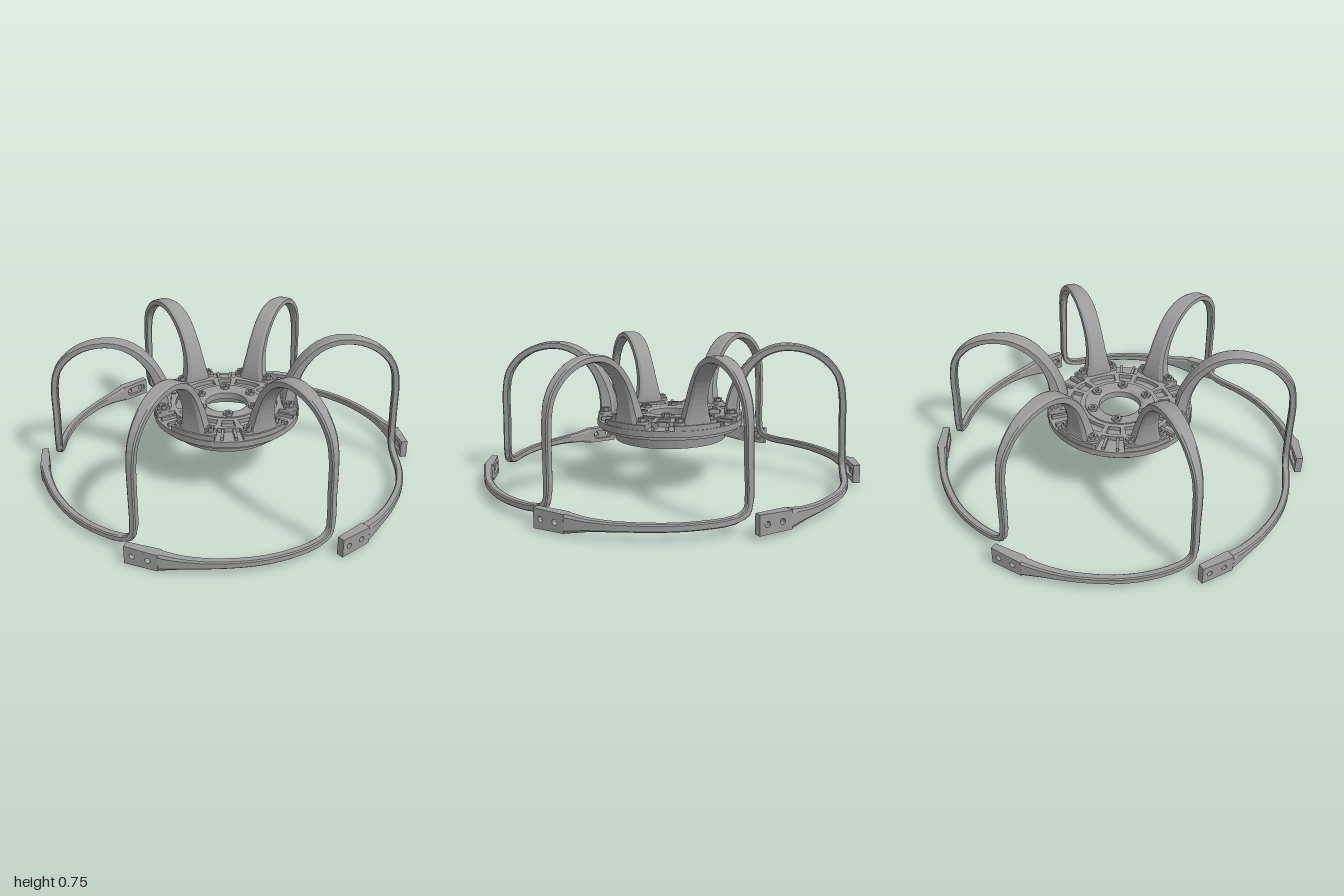
import * as THREE from 'three';

const metal = new THREE.MeshStandardMaterial({ color: 0x9c9c9c, flatShading: true });
metal.name = 'grey metal';
const LEG_ANGLE = -14.6; // degrees, measured from +x towards +z
const rad = THREE.MathUtils.degToRad;

function add(parent, geometry, name, x = 0, y = 0, z = 0) {
  const mesh = new THREE.Mesh(geometry, metal);
  mesh.name = name;
  mesh.position.set(x, y, z);
  parent.add(mesh);
  return mesh;
}

// Ring sector outline, used for pads and for pockets
function sector(Kind, r0, r1, from, to) {
  const p = new Kind();
  p.absarc(0, 0, r1, rad(from), rad(to), false);
  p.absarc(0, 0, r0, rad(to), rad(from), true);
  p.closePath();
  return p;
}

// Extrude a plan outline upwards (outline angle a becomes angle a from +x to +z)
function slab(shape, depth) {
  const g = new THREE.ExtrudeGeometry(shape, { depth, bevelEnabled: false, curveSegments: 10 });
  g.rotateX(Math.PI / 2);
  g.translate(0, depth, 0);
  return g;
}

// Leg stations: radius, height, angle round the ring, width, thickness
const stations = [
  [0.330, 0.350, 0, 0.170, 0.080], [0.332, 0.420, 0, 0.125, 0.075],
  [0.352, 0.510, 0, 0.098, 0.060], [0.400, 0.605, 0, 0.090, 0.048],
  [0.480, 0.685, 0, 0.090, 0.042], [0.580, 0.722, 0, 0.082, 0.038],
  [0.700, 0.712, 0, 0.068, 0.036], [0.800, 0.662, 0, 0.056, 0.036],
  [0.870, 0.580, 0, 0.046, 0.036], [0.895, 0.480, 0, 0.040, 0.036],
  [0.900, 0.300, 0, 0.036, 0.036], [0.905, 0.150, 0, 0.034, 0.036],
  [0.907, 0.093, 1, 0.034, 0.036], [0.912, 0.066, 5, 0.034, 0.036],
  [0.930, 0.060, 14, 0.035, 0.036], [0.945, 0.060, 24, 0.036, 0.036],
  [0.955, 0.060, 36, 0.040, 0.038], [0.962, 0.058, 44, 0.056, 0.042],
  [0.972, 0.057, 50, 0.090, 0.050],
];
const BEND = 11; // station where the leg turns from its arch into the ring
const onRing = (r, y, a) => new THREE.Vector3(r * Math.cos(rad(a)), y, r * Math.sin(rad(a)));

// Chamfered strap swept along the arch and then round the ring
function legGeometry() {
  const path = new THREE.CatmullRomCurve3(stations.map(([r, y, a]) => onRing(r, y, a)));
  const size = new THREE.CatmullRomCurve3(stations.map((s) => new THREE.Vector3(s[3], s[4], 0)));
  const spans = stations.length - 1, rings = spans * 3, c = 0.68;
  const outline = [[1, -c], [1, c], [c, 1], [-c, 1], [-1, c], [-1, -c], [-c, -1], [c, -1]];
  const pos = [], index = [], n = outline.length;
  for (let i = 0; i <= rings; i++) {
    const u = i / rings;
    const p = path.getPoint(u), t = path.getTangent(u), s = size.getPoint(u);
    const out = u * spans <= BEND
      ? new THREE.Vector3(-t.y, t.x, 0).normalize()
      : new THREE.Vector3(p.x, 0, p.z).normalize();
    const side = new THREE.Vector3().crossVectors(t, out).normalize();
    for (const [a, b] of outline) {
      const v = p.clone().addScaledVector(out, a * s.y / 2).addScaledVector(side, b * s.x / 2);
      pos.push(v.x, v.y, v.z);
    }
    if (i === rings) break;
    for (let j = 0; j < n; j++) {
      const a = i * n + j, b = i * n + (j + 1) % n;
      index.push(a, b, b + n, a, b + n, a + n);
    }
  }
  const end = rings * n;
  for (let j = 1; j < n - 1; j++) index.push(0, j + 1, j, end, end + j, end + j + 1);
  const g = new THREE.BufferGeometry();
  g.setAttribute('position', new THREE.Float32BufferAttribute(pos, 3));
  g.setIndex(index);
  g.computeVertexNormals();
  return g;
}

// One layer of the end plate: z runs towards the hub, thinner at the free end
function plateLayer(length, holes, depth, z) {
  const h = 0.048, s = new THREE.Shape();
  s.moveTo(-length / 2, -h + 0.004);
  s.lineTo(length / 2, -h);
  s.lineTo(length / 2, h);
  s.lineTo(-length / 2, h - 0.004);
  s.closePath();
  s.holes.push(...holes);
  const g = new THREE.ExtrudeGeometry(s, { depth, bevelEnabled: false, curveSegments: 10 });
  g.translate(0, 0, z);
  const p = g.attributes.position;
  for (let i = 0; i < p.count; i++) {
    p.setZ(i, p.getZ(i) * (0.85 - 0.3 * p.getX(i) / length));
  }
  g.computeVertexNormals();
  return g;
}

function endPlate() {
  const a = onRing(0.972, 0.057, 50), b = onRing(0.982, 0.057, 60);
  const d = b.clone().sub(a), length = d.length();
  const group = new THREE.Group();
  group.name = 'endPlate';
  const round = [-0.035, 0.045].map((x) => new THREE.Path().absarc(x, 0, 0.014, 0, Math.PI * 2, true));
  const slot = new THREE.Path();
  slot.absarc(0.045, 0, 0.024, -Math.PI / 2, Math.PI / 2, false);
  slot.absarc(-0.035, 0, 0.024, Math.PI / 2, Math.PI * 1.5, false);
  slot.closePath();
  add(group, plateLayer(length, round, 0.032, -0.025), 'drilledFace');
  add(group, plateLayer(length, [slot], 0.018, 0.007), 'slottedFace');
  group.position.copy(a).add(b).multiplyScalar(0.5);
  group.rotation.y = Math.atan2(-d.z, d.x);
  return group;
}

// Hexagonal nut with a bore
function nutGeometry(r, h) {
  const points = [[r * 0.5, 0], [r, 0], [r, h], [r * 0.5, h], [r * 0.5, 0]];
  return new THREE.LatheGeometry(points.map(([x, y]) => new THREE.Vector2(x, y)), 6);
}

function createHub() {
  const hub = new THREE.Group();
  hub.name = 'hub';
  // Stepped flange, hollow underneath, with a central bore
  const profile = [
    [0.11, 0.335], [0.20, 0.325], [0.235, 0.30], [0.25, 0.24], [0.292, 0.24], [0.30, 0.30],
    [0.365, 0.30], [0.365, 0.315], [0.385, 0.318], [0.385, 0.35], [0.29, 0.352],
    [0.19, 0.355], [0.185, 0.38], [0.125, 0.38], [0.11, 0.37], [0.11, 0.335],
  ];
  add(hub, new THREE.LatheGeometry(profile.map(([x, y]) => new THREE.Vector2(x, y)), 36), 'flange');
  // Raised web with alternating long and short pockets
  const web = new THREE.Shape().absarc(0, 0, 0.292, 0, Math.PI * 2, false);
  web.holes.push(new THREE.Path().absarc(0, 0, 0.182, 0, Math.PI * 2, true));
  for (let k = 0; k < 6; k++) {
    const a = LEG_ANGLE + 60 * k;
    web.holes.push(sector(THREE.Path, 0.21, 0.268, a - 16, a + 16));
    web.holes.push(sector(THREE.Path, 0.21, 0.268, a + 22, a + 38));
  }
  add(hub, slab(web, 0.03), 'pocketWeb', 0, 0.345, 0);

  for (let k = 0; k < 6; k++) {
    const a = LEG_ANGLE + 60 * k;
    add(hub, slab(sector(THREE.Shape, 0.285, 0.38, a - 19, a + 19), 0.03), 'footPad', 0, 0.345, 0);
    for (const off of [-14, 14]) {
      const p = onRing(0.34, 0.375, a + off);
      add(hub, new THREE.CylinderGeometry(0.032, 0.034, 0.016, 16), 'footBoss', p.x, 0.381, p.z);
      add(hub, nutGeometry(0.023, 0.018), 'footNut', p.x, 0.388, p.z);
      // Short radial rib beside each pad
      const q = onRing(0.33, 0.358, a + off * 1.75);
      add(hub, new THREE.BoxGeometry(0.085, 0.022, 0.014), 'rib', q.x, q.y, q.z)
        .rotation.y = -rad(a + off * 1.75);
    }
    const c = onRing(0.153, 0.38, a + 29);
    add(hub, nutGeometry(0.026, 0.014), 'centreNut', c.x, c.y, c.z);
  }
  return hub;
}

export function createModel() {
  const model = new THREE.Group();
  model.name = 'sixLeggedGuard';
  const body = new THREE.Group();
  body.name = 'body';
  body.add(createHub());
  const strap = legGeometry();
  for (let k = 0; k < 6; k++) {
    const leg = new THREE.Group();
    leg.name = 'leg';
    add(leg, strap, 'legStrap');
    leg.add(endPlate());
    leg.rotation.y = -rad(LEG_ANGLE + 60 * k);
    body.add(leg);
  }
  // The whole guard leans very slightly
  body.rotation.set(0.007, 0, 0.008);
  body.position.y = 0.003;
  model.add(body);
  return model;
}
